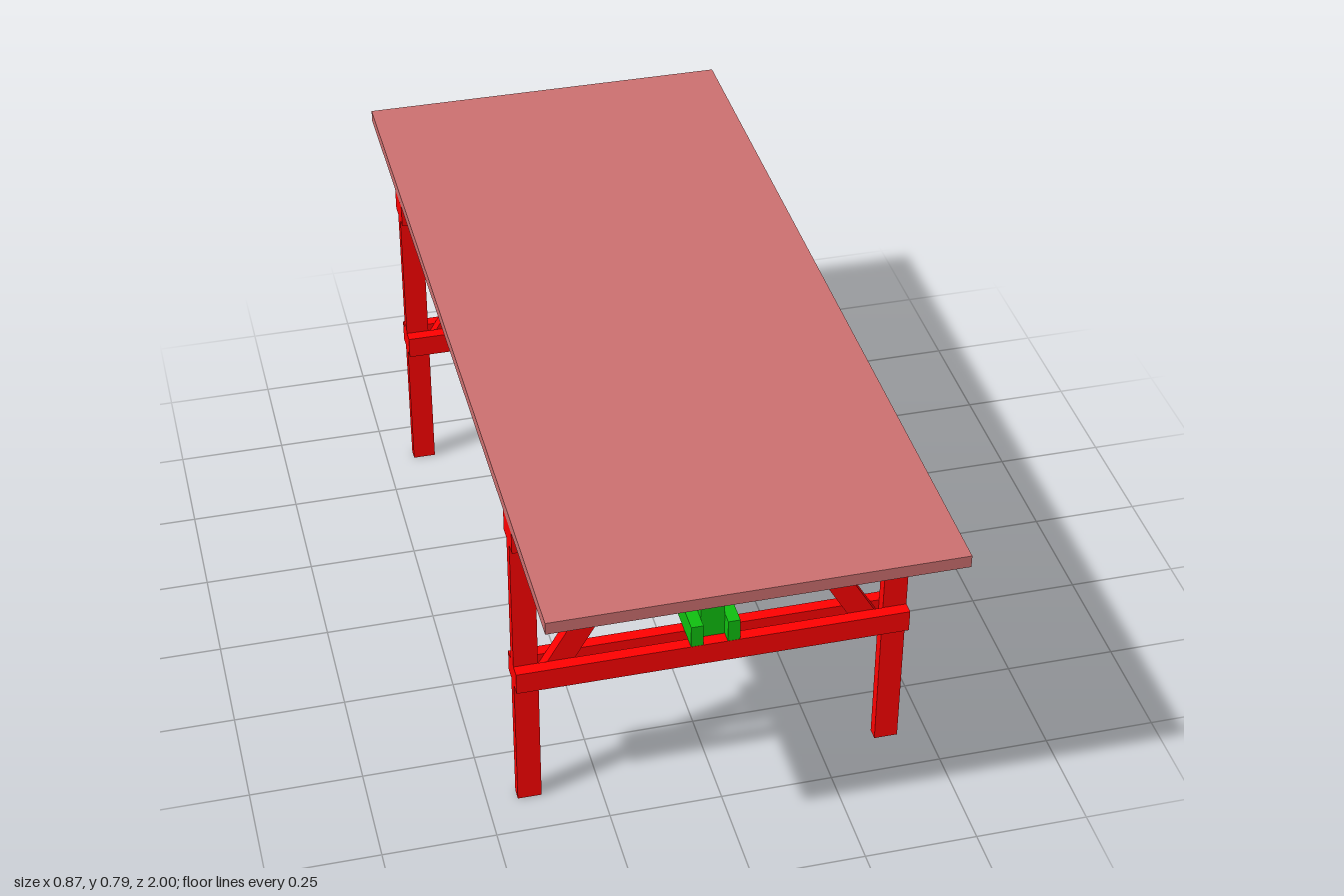
import * as THREE from 'three';

const red = new THREE.MeshStandardMaterial({ color: 0xff0000 });
const green = new THREE.MeshStandardMaterial({ color: 0x10c010 });
const topMat = new THREE.MeshStandardMaterial({ color: 0xcd7070 });

const T = 0.027; // board thickness
const W = 0.053; // board width

// box given by its min and max on each axis
function board(parent, name, mat, [x0, x1], [y0, y1], [z0, z1]) {
  const m = new THREE.Mesh(new THREE.BoxGeometry(x1 - x0, y1 - y0, z1 - z0), mat);
  m.position.set((x0 + x1) / 2, (y0 + y1) / 2, (z0 + z1) / 2);
  m.name = name;
  parent.add(m);
  return m;
}

// slanted board with level ends, drawn in the xy plane and centred on z = 0
function slanted(parent, name, mat, [xa, ya], [xb, yb], width, depth) {
  const h = width / 2;
  const shape = new THREE.Shape([
    new THREE.Vector2(xa - h, ya), new THREE.Vector2(xa + h, ya),
    new THREE.Vector2(xb + h, yb), new THREE.Vector2(xb - h, yb),
  ]);
  const geo = new THREE.ExtrudeGeometry(shape, { depth, bevelEnabled: false });
  geo.translate(0, 0, -depth / 2);
  const m = new THREE.Mesh(geo, mat);
  m.name = name;
  parent.add(m);
  return m;
}

// trestle: two legs and braces clamped between paired cross rails
function trestle(z) {
  const g = new THREE.Group();
  g.name = 'trestle';
  const mid = [-T / 2, T / 2];
  for (const s of [-1, 1]) {
    const c = s * 0.4065;
    board(g, 'leg', red, [c - W / 2, c + W / 2], [0, 0.76], mid);
    slanted(g, 'legBrace', red, [s * 0.359, 0.33], [s * 0.109, 0.759], 0.06, T);
    const zr = [s * T - T / 2, s * T + T / 2];
    board(g, 'upperCrossRail', red, [-0.433, 0.433], [0.707, 0.76], zr);
    board(g, 'lowerCrossRail', red, [-0.433, 0.433], [0.328, 0.38], zr);
  }
  board(g, 'endPost', green, [-W / 2, W / 2], [0.33, 0.759], mid);
  g.position.z = z;
  return g;
}

// long stretcher: paired rails with posts and one diagonal between them
function stretcher() {
  const g = new THREE.Group();
  g.name = 'stretcher';
  for (const s of [-1, 1]) {
    const c = s * 0.0405;
    for (const y of [0.38, 0.627])
      board(g, 'stretcherRail', green, [c - T / 2, c + T / 2], [y, y + W], [-0.672, 0.677]);
  }
  for (const z of [0.3, -0.01, -0.32])
    board(g, 'stretcherPost', green, [-W / 2, W / 2], [0.38, 0.68], [z - T / 2, z + T / 2]);
  // after the turn, local +x points to -z
  const d = slanted(g, 'stretcherDiagonal', green, [0.618, 0.382], [0.341, 0.678], 0.038, W);
  d.rotation.y = Math.PI / 2;
  return g;
}

export function createModel() {
  const model = new THREE.Group();
  model.name = 'trestleTable';
  board(model, 'tableTop', topMat, [-0.433, 0.433], [0.76, 0.788], [-1, 1]);
  model.add(trestle(0.637), trestle(-0.632), stretcher());
  return model;
}
